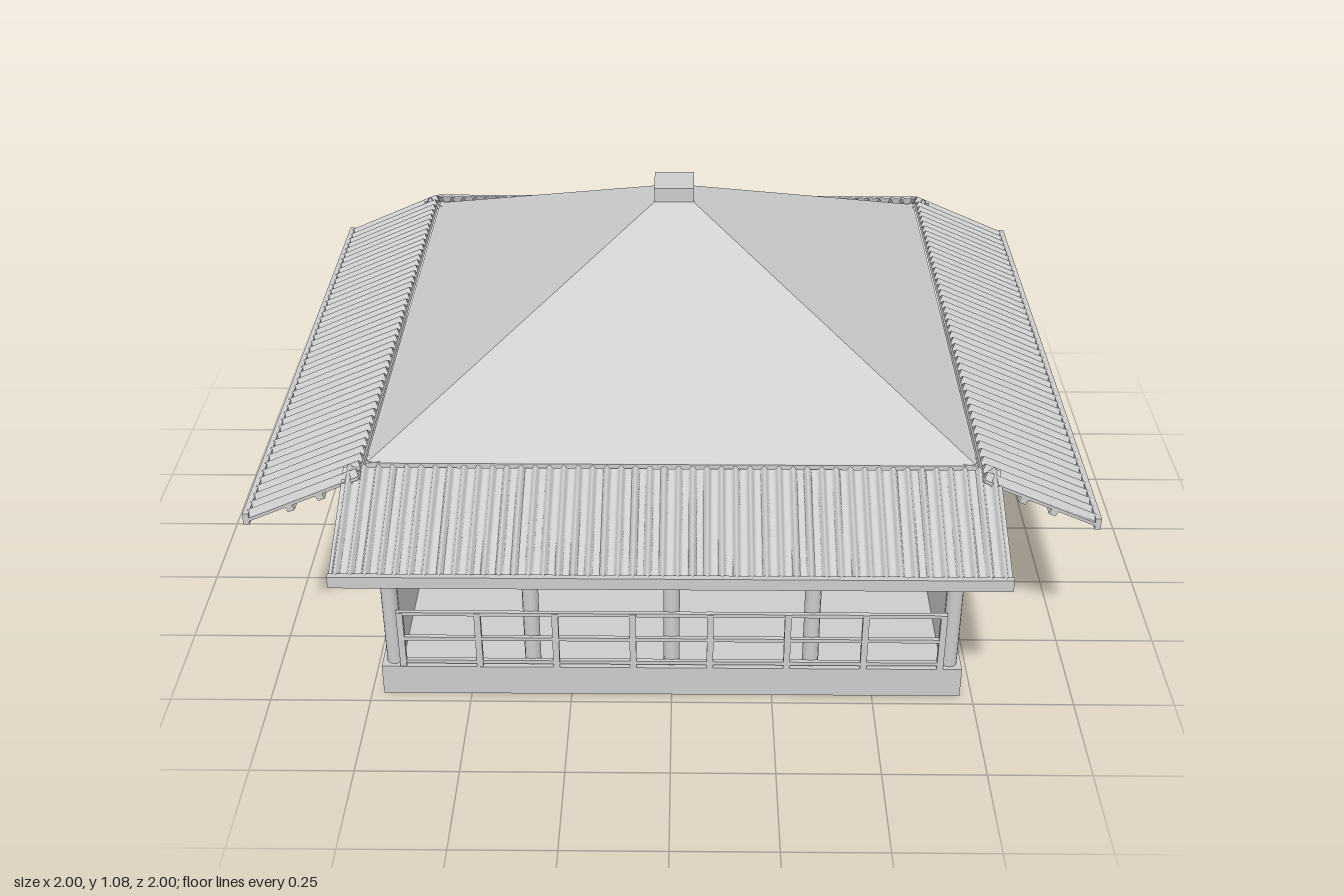
import * as THREE from 'three';

const mat = new THREE.MeshStandardMaterial({ color: 0xcccccc, flatShading: true });
const sheetMat = new THREE.MeshStandardMaterial({ color: 0xcccccc, side: THREE.DoubleSide });
const smooth = new THREE.MeshStandardMaterial({ color: 0xcccccc });

function add(parent, name, geometry, x, y, z, material = mat) {
  const mesh = new THREE.Mesh(geometry, material);
  mesh.name = name;
  mesh.position.set(x, y, z);
  parent.add(mesh);
  return mesh;
}
const box = (parent, name, w, h, d, x, y, z) =>
  add(parent, name, new THREE.BoxGeometry(w, h, d), x, y, z);

const BAY = 0.345;
const FLOOR = 0.085;

// Sloping ribbed eave, built flat and then tilted down from the wall
function eave() {
  const g = new THREE.Group();
  g.name = 'eave';
  const width = 1.52, ribs = 46, run = 0.27, drop = 0.12;
  const length = Math.hypot(run, drop);
  const sheet = new THREE.PlaneGeometry(width, length, ribs * 8, 1).rotateX(-Math.PI / 2);
  const p = sheet.attributes.position;
  for (let i = 0; i < p.count; i++) {
    const phase = (p.getX(i) / width + 0.5) * ribs * Math.PI * 2;
    p.setY(i, 0.014 * Math.max(0, -Math.cos(phase)));
  }
  sheet.computeVertexNormals();
  const slope = new THREE.Group();
  slope.name = 'eaveSlope';
  slope.position.set(0, 0.618, 0.855);
  slope.rotation.x = Math.atan2(drop, run);
  add(slope, 'ribbedSheet', sheet, 0, 0, 0, sheetMat);
  box(slope, 'eaveBoard', width, 0.008, length, 0, -0.004, 0);
  for (const z of [-0.12, -0.04, 0.04]) box(slope, 'purlin', width, 0.014, 0.018, 0, -0.015, z);
  g.add(slope);
  box(g, 'fascia', width, 0.03, 0.014, 0, 0.557, 0.992);
  return g;
}

// Sliding screen with thin lattice filling one bay
function screen(x) {
  const g = new THREE.Group();
  g.name = 'screen';
  g.position.x = x;
  const h = 0.385, y = FLOOR + h / 2;
  box(g, 'screenPanel', BAY, h, 0.012, 0, y, 0.675);
  for (const sx of [-0.15, -0.075, -0.025, 0.025, 0.075, 0.15])
    box(g, 'screenStile', 0.007, h, 0.008, sx, y, 0.684);
  for (let i = 0; i <= 5; i++)
    box(g, 'screenBar', BAY - 0.04, 0.007, 0.007, 0, FLOOR + 0.006 + i * 0.0745, 0.684);
  return g;
}

// One side of the house, facing +z
function side(open) {
  const g = new THREE.Group();
  g.name = open ? 'openSide' : 'screenedSide';
  g.add(eave());
  box(g, 'lintel', 1.44, 0.025, 0.03, 0, 0.4825, 0.703);
  box(g, 'wallPlate', 1.42, 0.03, 0.03, 0, 0.668, 0.695);
  for (const x of [-BAY, 0, BAY])
    add(g, 'post', new THREE.CylinderGeometry(0.02, 0.02, 0.585, 12), x, FLOOR + 0.2925, 0.69, smooth);
  for (let b = 0; b < 4; b++) {
    const x = (b - 1.5) * BAY;
    if (!open) g.add(screen(x));
    // Transom lattice over each bay
    box(g, 'transomPanel', BAY, 0.165, 0.008, x, 0.575, 0.677);
    for (let i = -5; i <= 5; i++)
      box(g, 'transomBar', 0.007, 0.165, 0.01, x + i * 0.027, 0.575, 0.686);
    box(g, 'transomRail', BAY - 0.04, 0.008, 0.011, x, 0.575, 0.686);
  }
  return g;
}

// Low veranda railing
function railing() {
  const g = new THREE.Group();
  g.name = 'railing';
  for (let i = 0; i < 8; i++)
    box(g, 'railingPost', 0.016, 0.165, 0.014, -0.665 + i * 0.19, FLOOR + 0.0825, 0.712);
  for (const y of [0.098, 0.17, 0.246])
    box(g, 'railingRail', 1.33, 0.01, 0.01, 0, y, 0.712);
  return g;
}

// Small hanging lamp made of stacked discs
function lamp(x) {
  const g = new THREE.Group();
  g.name = 'lamp';
  g.position.set(x, 0, 0);
  const profile = [[0, 0.444], [0.024, 0.444], [0.027, 0.455], [0.02, 0.46], [0.035, 0.468], [0.035, 0.474], [0, 0.478]];
  add(g, 'lampShade', new THREE.LatheGeometry(profile.map(([r, y]) => new THREE.Vector2(r, y)), 16), 0, 0, 0);
  add(g, 'lampCord', new THREE.CylinderGeometry(0.003, 0.003, 0.21, 6), 0, 0.58, 0);
  return g;
}

export function createModel() {
  const house = new THREE.Group();
  house.name = 'house';

  box(house, 'foundation', 1.44, FLOOR, 1.44, 0, FLOOR / 2, 0);

  // Four sides, the front one open
  for (let i = 0; i < 4; i++) {
    const s = side(i === 0);
    s.rotation.y = i * Math.PI / 2;
    house.add(s);
  }
  for (const x of [-0.69, 0.69])
    for (const z of [-0.69, 0.69])
      add(house, 'cornerPost', new THREE.CylinderGeometry(0.02, 0.02, 0.6, 12), x, FLOOR + 0.3, z, smooth);
  house.add(railing(), lamp(-0.287), lamp(0.287));

  // Pyramid roof and its cap
  const roof = new THREE.CylinderGeometry(0.05 * Math.SQRT2, 0.707 * Math.SQRT2, 0.36, 4).rotateY(Math.PI / 4);
  add(house, 'roof', roof, 0, 0.862, 0);
  box(house, 'roofCap', 0.1, 0.042, 0.1, 0, 1.059, 0);
  return house;
}
